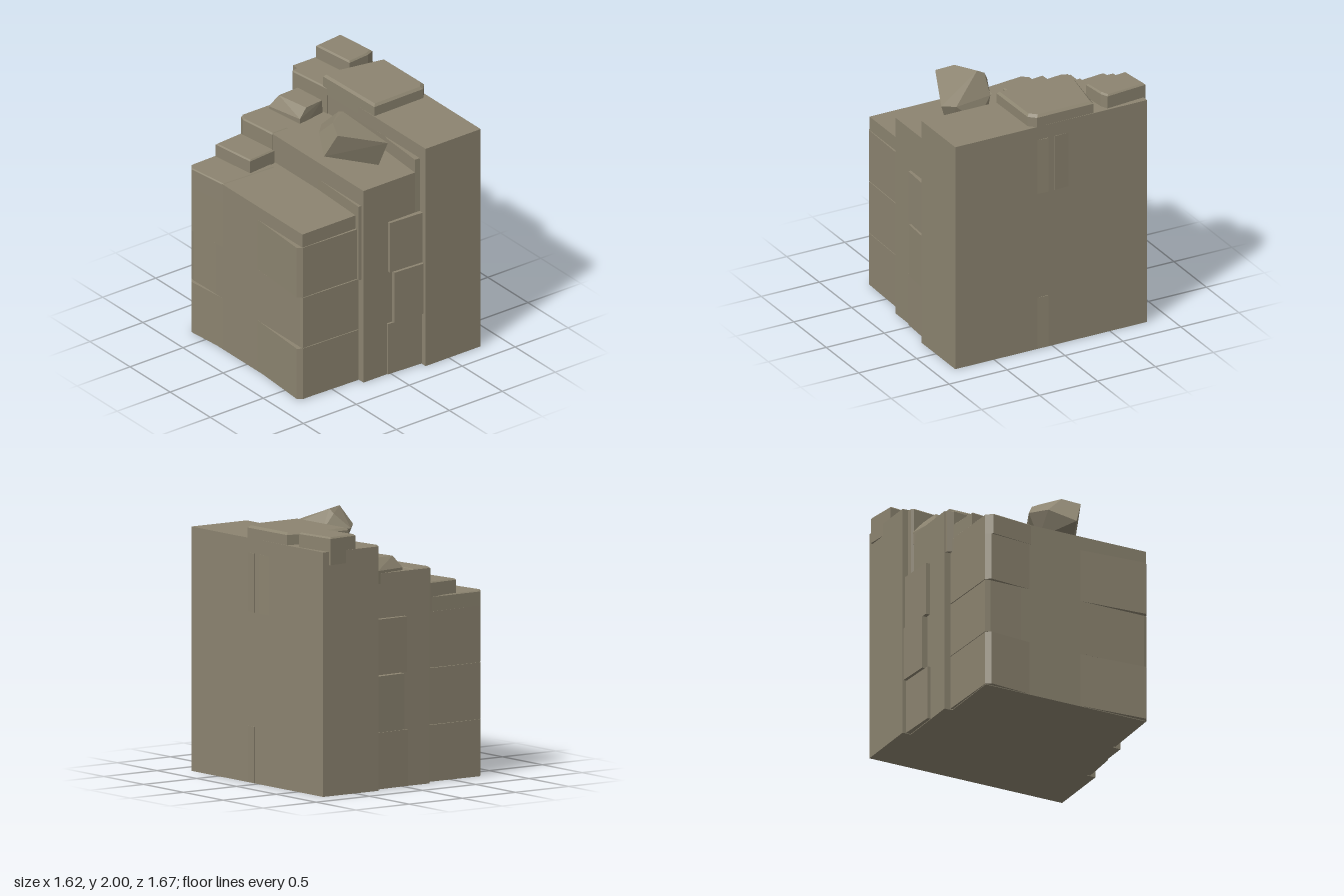
import * as THREE from 'three';
import { ConvexGeometry } from 'three/addons/geometries/ConvexGeometry.js';

export function createModel() {
  const group = new THREE.Group();
  group.name = 'steppedStoneWall';
  const stone = new THREE.MeshStandardMaterial({ color: 0x8c8470 });
  stone.name = 'stone';

  // Faceted solid around a few corner points
  function hull(name, points) {
    const mesh = new THREE.Mesh(new ConvexGeometry(points.map((p) => new THREE.Vector3(...p))), stone);
    mesh.name = name;
    group.add(mesh);
  }

  // Upright block over an [x, z] footprint, with an optional bevel round the top
  function block(name, corners, y0, y1, bevel = 0) {
    const cx = corners.reduce((s, c) => s + c[0], 0) / corners.length;
    const cz = corners.reduce((s, c) => s + c[1], 0) / corners.length;
    const points = [];
    for (const [x, z] of corners) {
      points.push([x, y0, z], [x, y1 - bevel, z]);
      if (bevel) points.push([x - Math.sign(x - cx) * bevel, y1, z - Math.sign(z - cz) * bevel]);
    }
    hull(name, points);
  }

  const rect = (x0, x1, z0, z1) => [[x0, z0], [x1, z0], [x1, z1], [x0, z1]];

  // Three tall steps
  block('tallStep', rect(0.28, 0.8, -0.82, 0.835), 0, 1.86);
  block('middleStep', rect(-0.25, 0.29, -0.75, 0.76), 0, 1.64);
  block('lowStep', rect(-0.775, -0.24, -0.685, 0.692), 0, 1.41);

  // Slightly turned bricks peeking out of the low step, course by course
  const courses = [[0.005, 0.435], [0.44, 0.868], [0.875, 1.298]];
  courses.forEach(([y0, y1], i) => {
    const out = i === 1 ? -0.78 : -0.812;
    block('lowFrontBrick', [[out, 0.67], [-0.775, 0.13], [-0.25, 0.2], [-0.26, 0.71], [-0.775, 0.697]], y0, y1);
    const back = i === 1 ? -0.785 : -0.805;
    block('lowBackBrick', [[back, -0.65], [-0.77, -0.25], [-0.25, -0.25], [-0.26, -0.705], [-0.775, -0.69]], y0, y1);
  });
  block('lowTopBrick', [[-0.815, -0.64], [-0.775, -0.295], [-0.3, -0.28], [-0.28, -0.7], [-0.775, -0.69]], 1.25, 1.415, 0.008);

  // Bricks on both ends of the middle step
  const left = [-0.03, 0.018, -0.018];
  const depth = [0.783, 0.803, 0.79];
  courses.forEach(([y0, y1], i) => {
    for (const s of [1, -1]) {
      block(s > 0 ? 'middleFrontBrick' : 'middleBackBrick',
        [[left[i], s * 0.6], [0.285, s * 0.6], [0.285, s * (depth[i] + 0.008)], [left[i], s * (depth[i] - 0.008)]], y0, y1);
    }
  });
  block('middleSideBrick', [[-0.288, -0.69], [-0.255, -0.37], [-0.1, -0.37], [-0.1, -0.745], [-0.27, -0.74]], 1.3, 1.645, 0.01);
  block('middleSideBrick', [[-0.275, 0.73], [-0.25, 0.2], [-0.1, 0.2], [-0.1, 0.75]], 0.87, 1.5);

  // Bricks showing from the inner side of the tall step
  block('tallInnerBrick', [[0.23, -0.75], [0.27, -0.38], [0.4, -0.38], [0.4, -0.79], [0.24, -0.77]], 1.3, 1.86, 0.01);
  block('tallInnerBrick', [[0.235, 0.76], [0.28, 0.22], [0.4, 0.22], [0.4, 0.78]], 1.3, 1.75);

  // Brick ends just breaking the outer side
  for (const [y0, y1] of [[0.005, 0.43], [1.3, 1.75]]) {
    block('outerFrontBrick', [[0.7, 0.035], [0.808, 0.035], [0.798, 0.15], [0.7, 0.15]], y0, y1);
  }
  block('outerBackBrick', [[0.7, -0.022], [0.806, -0.022], [0.798, -0.18], [0.7, -0.18]], 1.3, 1.75);

  // Cap stones
  block('largeCap', [[0.27, -0.43], [0.38, -0.432], [0.795, -0.36], [0.8, 0.13], [0.75, 0.183], [0.285, 0.19]], 1.8, 1.955, 0.018);
  block('cornerCap', [[0.49, -0.81], [0.745, -0.837], [0.78, -0.49], [0.72, -0.465], [0.53, -0.445]], 1.76, 1.972, 0.012);
  block('lowCap', [[-0.555, -0.68], [-0.3, -0.7], [-0.262, -0.335], [-0.51, -0.31]], 1.3, 1.525, 0.01);
  hull('middleCap', [
    [-0.03, 1.56, -0.71], [0.24, 1.56, -0.755], [0.255, 1.56, -0.42], [0.01, 1.56, -0.375],
    [-0.03, 1.66, -0.71], [0.235, 1.66, -0.755], [0.255, 1.68, -0.42], [0.01, 1.68, -0.375],
    [0.035, 1.75, -0.67], [0.22, 1.75, -0.68], [0.245, 1.75, -0.41], [0.08, 1.75, -0.39],
  ]);

  // Loose boulder lying tilted on the middle step
  hull('boulder', [
    [-0.312, 1.78, 0.35], [-0.24, 1.965, 0.425], [0.12, 1.85, 0.575], [0.175, 1.845, 0.475],
    [0.09, 1.64, 0.5], [0.2, 1.69, 0.31], [-0.185, 2.0, 0.29], [-0.015, 2.0, 0.19],
    [-0.01, 1.97, 0.13], [-0.11, 1.86, 0.05], [-0.215, 1.87, 0.16], [0.1, 1.83, 0.14],
    [0.13, 1.72, 0.18], [-0.1, 1.68, 0.14], [-0.24, 1.76, 0.27], [0.06, 1.64, 0.24],
  ]);
  return group;
}
